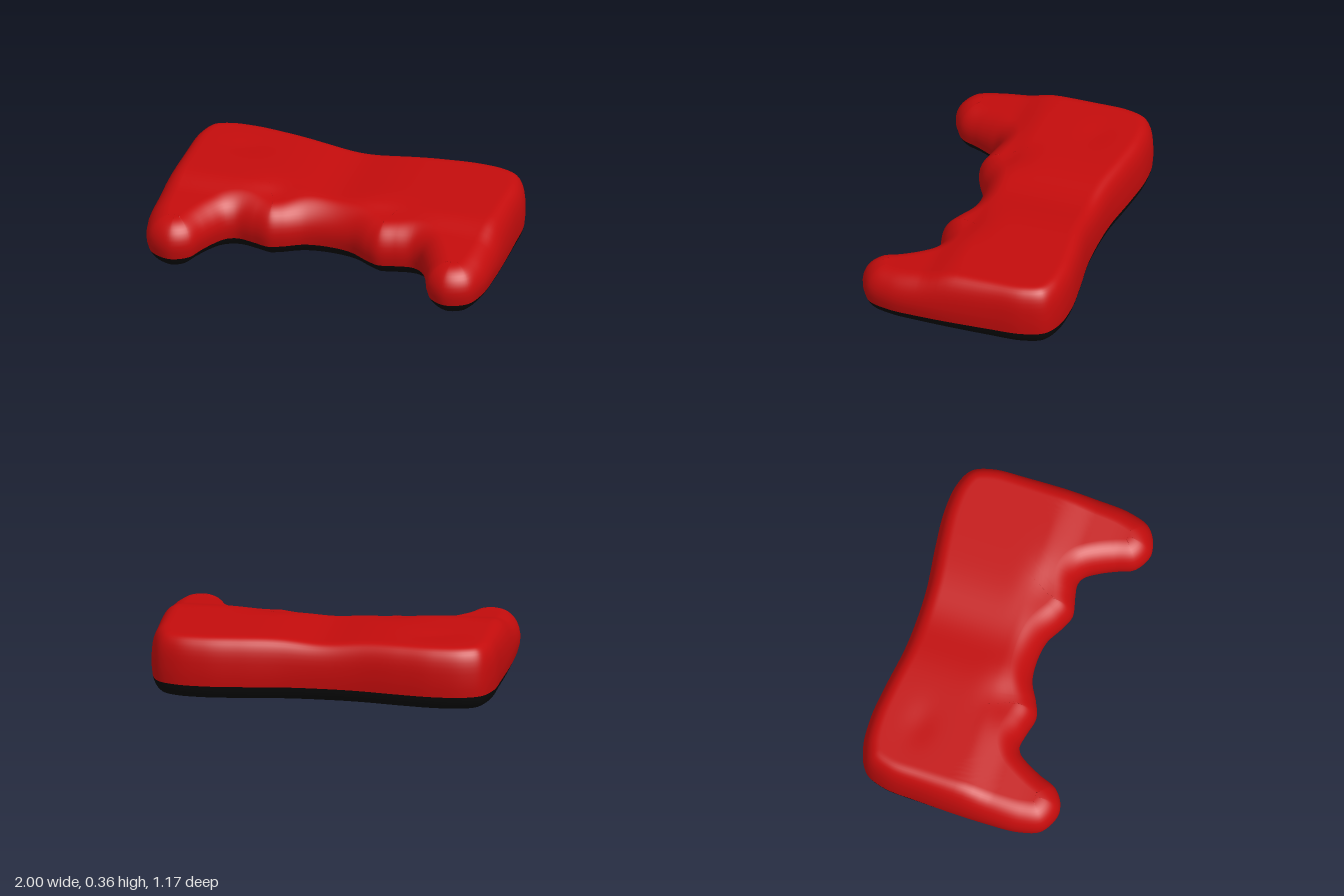
import * as THREE from 'three';
import { mergeVertices } from 'three/addons/utils/BufferGeometryUtils.js';

// Half outline in x, z: both lists run from the grip tip to the centre line
const OUTER = [[0.81, 0.585], [0.94, 0.53], [0.99, 0.4], [1, 0.2], [0.985, -0.2], [0.97, -0.4],
  [0.92, -0.52], [0.82, -0.572], [0.65, -0.588], [0.45, -0.57], [0.2, -0.537], [0, -0.53]];
const INNER = [[0.81, 0.585], [0.7, 0.53], [0.65, 0.42], [0.61, 0.34], [0.57, 0.28], [0.535, 0.257],
  [0.5, 0.25], [0.42, 0.265], [0.32, 0.285], [0.24, 0.255], [0.13, 0.197], [0, 0.18]];
const N = 352, HALF = N / 2, ACROSS = 28;
const MID = 0.16, SEAM = -0.47;

const { smoothstep, lerp } = THREE.MathUtils;
const bump = (x, z, cx, cz, rx, rz) => Math.exp(-(((x - cx) / rx) ** 2) - ((z - cz) / rz) ** 2);

// Height of the upper face: flat behind, sloping down the grips, with shallow hollows
function topHeight(x, z) {
  return 0.362 - 0.035 * smoothstep(z, 0.02, 0.22) - 0.03 * smoothstep(z, 0.1, 0.5)
    - 0.026 * Math.exp(-((x / 0.2) ** 2))
    - 0.022 * bump(x, z, -0.33, 0.09, 0.13, 0.1)
    - 0.02 * bump(x, z, 0.33, 0.09, 0.17, 0.09)
    - 0.006 * bump(x, z, -0.63, -0.3, 0.12, 0.08);
}

// Closed outline with inward directions
function makeOutline() {
  const flip = ([x, z]) => [-x, z];
  const loop = [...OUTER, ...OUTER.slice(0, -1).reverse().map(flip),
    ...INNER.slice(1).map(flip), ...INNER.slice(1, -1).reverse()];
  const curve = new THREE.CatmullRomCurve3(loop.map(([x, z]) => new THREE.Vector3(x, 0, z)), true);
  return Array.from({ length: N }, (_, i) => {
    const p = curve.getPoint(i / N), t = curve.getTangent(i / N);
    return { x: p.x, z: p.z, nx: t.z, nz: -t.x };
  });
}

// Outline at level s (-1 underside, 0 widest, 1 upper face), drawn in by a rounded edge
function ring(outline, s) {
  return outline.map((o) => {
    const front = smoothstep(o.z, -0.5, 0.4);
    const n = lerp(2.7, 2, front), r = lerp(0.1, 0.13, front);
    const inset = r * (1 - Math.pow(Math.max(0, 1 - Math.abs(s) ** n), 1 / n));
    const x = o.x + o.nx * inset, z = o.z + o.nz * inset;
    return new THREE.Vector3(x, MID + s * (s > 0 ? topHeight(x, z) - MID : MID), z);
  });
}

// Shell made of stacked rings, closed by a face spanning outer and inner edges
function makeShell(name, color, levels, isTop) {
  const outline = makeOutline(), pos = [];
  const quad = (a, b, c, d) => [a, b, c, a, c, d].forEach((p) => pos.push(p.x, p.y, p.z));
  const rings = levels.map((s) => ring(outline, s));
  for (let k = 0; k < rings.length - 1; k++) {
    for (let i = 0; i < N; i++) {
      const j = (i + 1) % N;
      quad(rings[k][i], rings[k][j], rings[k + 1][j], rings[k + 1][i]);
    }
  }
  const edge = isTop ? rings[rings.length - 1] : rings[0];
  const cell = (i, j) => {
    const p = edge[i].clone().lerp(edge[(N - i) % N], j / ACROSS);
    p.y = isTop ? topHeight(p.x, p.z) : 0;
    return p;
  };
  for (let i = 0; i < HALF; i++) {
    for (let j = 0; j < ACROSS; j++) {
      const a = cell(i, j), b = cell(i + 1, j), c = cell(i + 1, j + 1), d = cell(i, j + 1);
      if (isTop) quad(a, b, c, d);
      else quad(d, c, b, a);
    }
  }
  let geo = new THREE.BufferGeometry();
  geo.setAttribute('position', new THREE.Float32BufferAttribute(pos, 3));
  geo = mergeVertices(geo, 1e-5);
  geo.computeVertexNormals();
  const mesh = new THREE.Mesh(geo, new THREE.MeshStandardMaterial({ color }));
  mesh.name = name;
  return mesh;
}

export function createModel() {
  const group = new THREE.Group();
  group.name = 'gamepadBody';
  const steps = Array.from({ length: 15 }, (_, i) => 1 - (1 - i / 14) ** 3);
  const upper = steps.map((u) => lerp(SEAM, 1, u));
  const lower = steps.map((u) => lerp(SEAM, -1, u)).reverse();
  group.add(makeShell('upperShell', 0xc40c0c, upper, true));
  group.add(makeShell('lowerShell', 0x0a0a0a, lower, false));
  return group;
}
